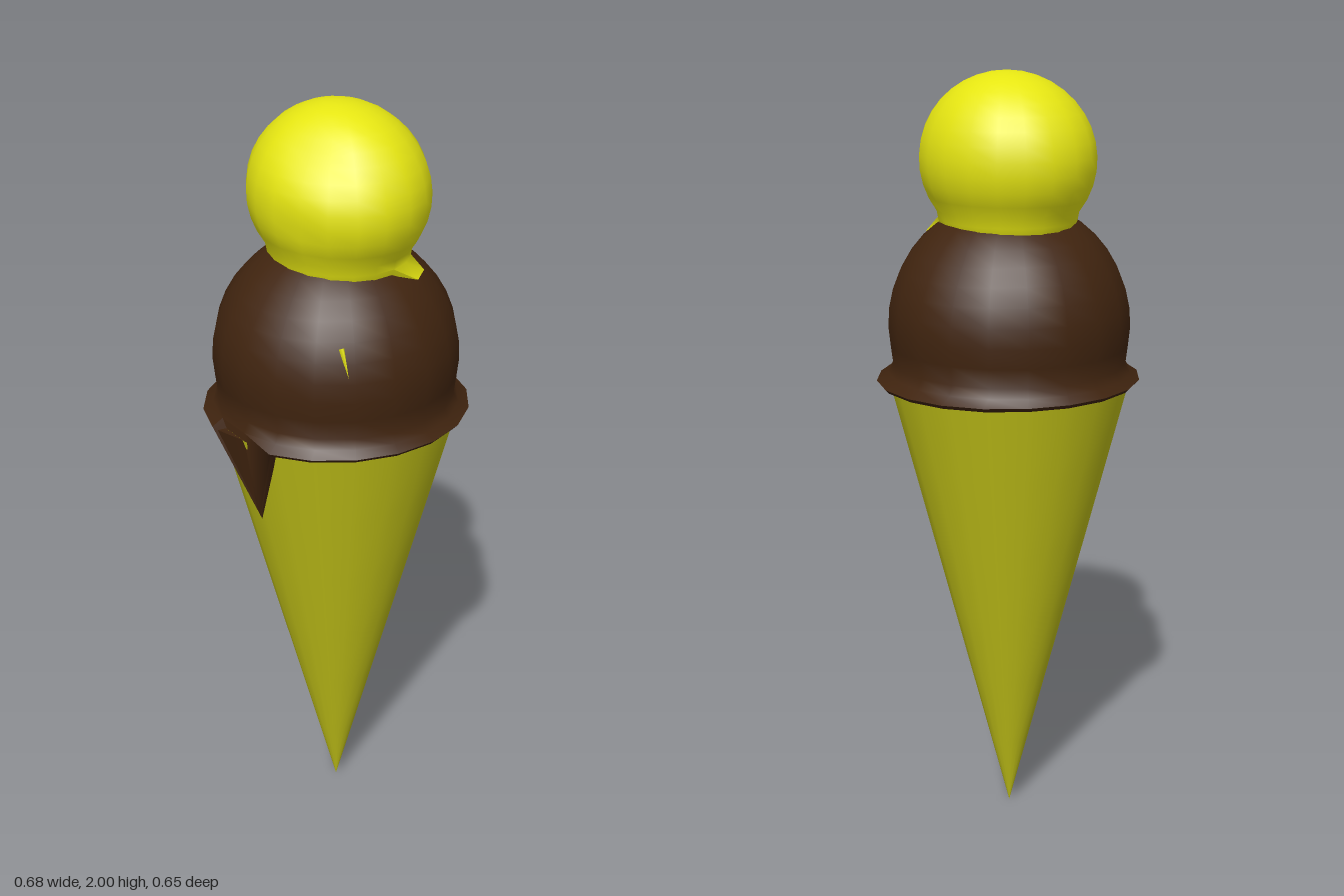
import * as THREE from 'three';
import { mergeVertices, toCreasedNormals } from 'three/addons/utils/BufferGeometryUtils.js';

const SIDES = 20;

// Lathe whose vertices are moved by edit(point, row, side), then smoothed
function moulded(profile, edit) {
  const geo = new THREE.LatheGeometry(profile.map(([r, y]) => new THREE.Vector2(r, y)), SIDES);
  const pos = geo.attributes.position;
  const p = new THREE.Vector3();
  for (let i = 0; i < pos.count; i++) {
    p.fromBufferAttribute(pos, i);
    edit(p, i % profile.length, Math.floor(i / profile.length) % SIDES);
    pos.setXYZ(i, p.x, p.y, p.z);
  }
  geo.deleteAttribute('uv');
  geo.deleteAttribute('normal');
  return toCreasedNormals(mergeVertices(geo, 1e-5), 1.1);
}

// Points on an arc from angle a to b (degrees above the horizontal)
function arc(radius, height, cy, a, b, steps) {
  return Array.from({ length: steps + 1 }, (_, i) => {
    const t = THREE.MathUtils.degToRad(a + (b - a) * i / steps);
    return [i === steps ? 0 : radius * Math.cos(t), cy + height * Math.sin(t)];
  });
}

// Soft dent (negative depth) or bump, pushed along the direction from a centre
function dent(p, centre, at, size, depth) {
  const d = p.distanceTo(at) / size;
  const dir = p.clone().sub(centre).normalize();
  p.addScaledVector(dir, depth * Math.exp(-d * d));
}

export function createModel() {
  const group = new THREE.Group();
  const V = (x, y, z) => new THREE.Vector3(x, y, z);
  const add = (name, geo, color) => {
    const mat = new THREE.MeshStandardMaterial({ color, side: THREE.DoubleSide });
    const mesh = new THREE.Mesh(geo, mat);
    mesh.name = name;
    group.add(mesh);
    return mesh;
  };

  // Wafer cone
  const cone = add('cone', new THREE.CylinderGeometry(0.307, 0, 1.236, SIDES, 6, true), 0xc0c018);
  cone.position.y = 0.618;

  // Lower scoop with a flared lip; one lip point runs down the cone as a drip
  const lowerProfile = [
    [0.304, 1.236], [0.316, 1.234], [0.325, 1.244], [0.31, 1.262], [0.297, 1.285],
    ...arc(0.307, 0.307, 1.385, -10, 90, 11),
  ];
  const lowerCentre = V(0, 1.385, 0);
  const lowerScoop = moulded(lowerProfile, (p, row, side) => {
    if (row === 1 || row === 2) {
      if (side === 16) {
        const a = side / SIDES * Math.PI * 2;
        const r = row === 1 ? 0.26 : 0.265;
        p.set(r * Math.sin(a), row === 1 ? 1.0 : 1.01, r * Math.cos(a));
      } else {
        p.x = p.x * 1.045 + 0.002;
      }
    }
    if (row > 4) {
      dent(p, lowerCentre, V(0.22, 1.55, -0.15), 0.09, -0.01);
      dent(p, lowerCentre, V(-0.2, 1.57, 0.1), 0.08, -0.008);
    }
  });
  add('lowerScoop', lowerScoop, 0x40240f);

  // Upper scoop, an oval ball with dents and a short drip at its lower edge
  const upperProfile = [[0.76, 1.628], [0.79, 1.645], ...arc(1, 0.21, 1.79, -36, 90, 13)];
  const upperCentre = V(0.006, 1.79, 0);
  const upperScoop = moulded(upperProfile, (p, row, side) => {
    p.x = p.x * 0.213 + 0.006;
    p.z *= 0.243;
    if (row === 0 && side === 2) p.set(0.125, 1.607, 0.18);
    if (row === 0 && side === 3) p.set(0.17, 1.607, 0.13);
    if (row > 1) {
      dent(p, upperCentre, V(-0.12, 1.91, 0.12), 0.08, -0.022);
      dent(p, upperCentre, V(-0.17, 1.76, 0.12), 0.04, -0.012);
      dent(p, upperCentre, V(-0.05, 1.88, 0.22), 0.06, -0.01);
    }
  });
  add('upperScoop', upperScoop, 0xe6e612);

  // Tiny splash on the front of the lower scoop
  const splash = add('splash', new THREE.ConeGeometry(0.007, 0.07, 4), 0xe6e612);
  splash.position.set(-0.115, 1.48, 0.275);
  splash.rotation.x = Math.PI - 0.55;

  return group;
}
